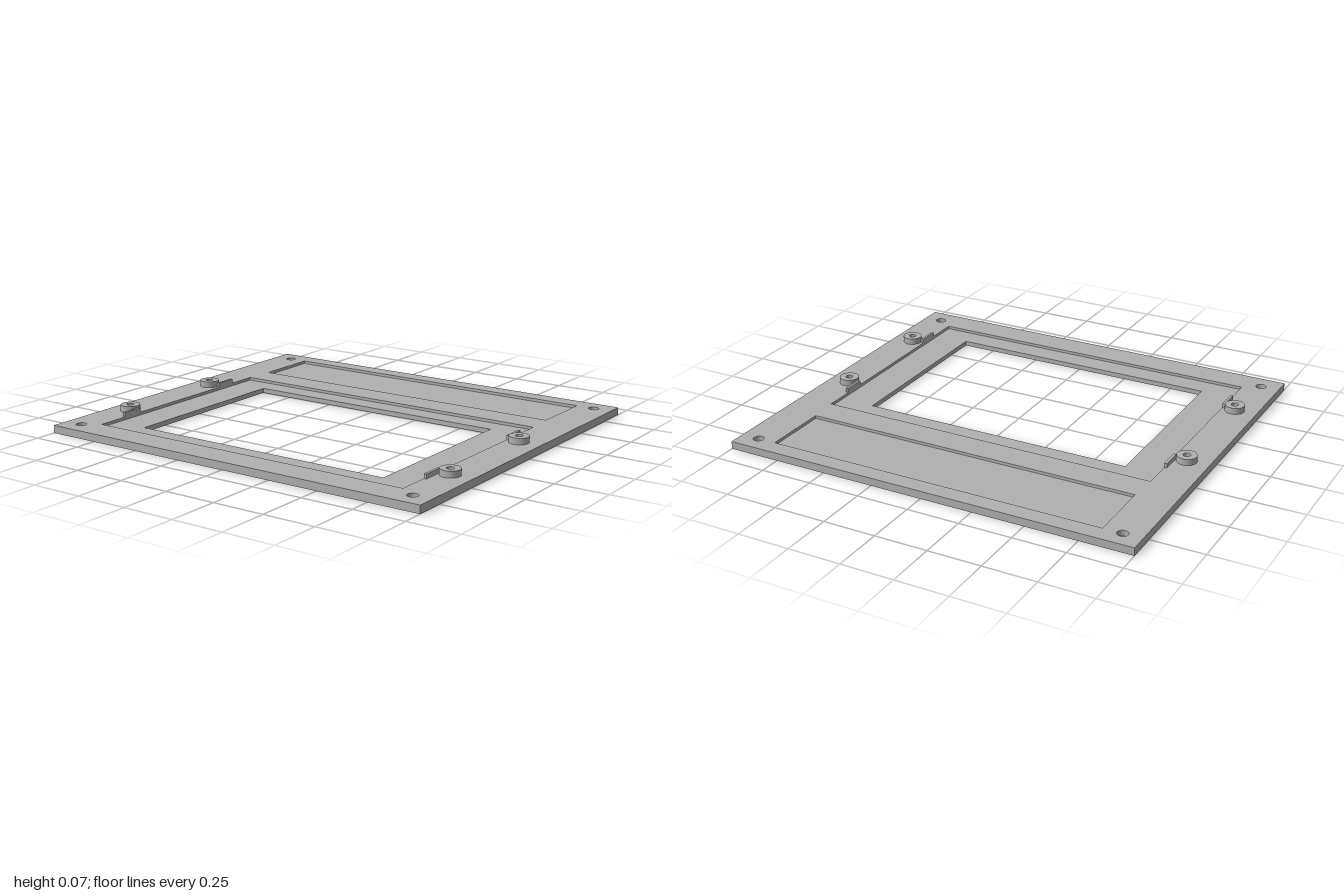
import * as THREE from 'three';

const TOP = 0.037, FLOOR = 0.023, BORE = 0.012;
const WINDOW = [-0.665, 0.662, -0.25, 0.647];
const WINDOW_RECESS = [-0.83, 0.83, -0.35, 0.755];
const BACK_RECESS = [-0.82, 0.82, -0.812, -0.492];

// Rectangle outline from x and z limits (shape y is -z)
function rect(target, [x0, x1, z0, z1]) {
  target.moveTo(x0, -z0).lineTo(x0, -z1).lineTo(x1, -z1).lineTo(x1, -z0).closePath();
  return target;
}

function circle(x, z, r) {
  return new THREE.Path().absarc(x, -z, r, 0, Math.PI * 2, true);
}

// Upright slab between two heights
function slab(shape, y0, y1) {
  const geo = new THREE.ExtrudeGeometry(shape, { depth: y1 - y0, bevelEnabled: false, curveSegments: 24 });
  return geo.rotateX(-Math.PI / 2).translate(0, y0, 0);
}

export function createModel() {
  const model = new THREE.Group();
  const grey = new THREE.MeshStandardMaterial({ color: 0xb0b0b0 });
  grey.name = 'grey';
  const add = (name, geo) => {
    const mesh = new THREE.Mesh(geo, grey);
    mesh.name = name;
    model.add(mesh);
  };

  // Plate in layers: wide screw bores below, recesses above
  const layer = (name, y0, y1, holeRadius, openings) => {
    const shape = rect(new THREE.Shape(), [-1, 1, -0.895, 0.895]);
    for (const o of openings) shape.holes.push(rect(new THREE.Path(), o));
    for (const x of [-0.91, 0.91])
      for (const z of [-0.812, 0.807]) shape.holes.push(circle(x, z, holeRadius));
    add(name, slab(shape, y0, y1));
  };
  layer('plateBottom', 0, BORE, 0.036, [WINDOW]);
  layer('plateMiddle', BORE, FLOOR, 0.025, [WINDOW]);
  layer('plateTop', FLOOR, TOP, 0.025, [WINDOW_RECESS, BACK_RECESS]);

  // Hollow mounting posts, each with a thin guide rib beside the recess
  for (const side of [-1, 1]) {
    for (const [z, dir] of [[-0.098, -1], [0.492, 1]]) {
      const ring = new THREE.Shape().absarc(side * 0.893, -z, 0.047, 0, Math.PI * 2, false);
      ring.holes.push(circle(side * 0.893, z, 0.017));
      add('mountingPost', slab(ring, TOP, 0.067));

      const rib = new THREE.BoxGeometry(0.013, 0.058 - TOP, 0.106);
      add('guideRib', rib.translate(side * 0.8365, (0.058 + TOP) / 2, z + dir * 0.053));
    }
  }
  return model;
}
